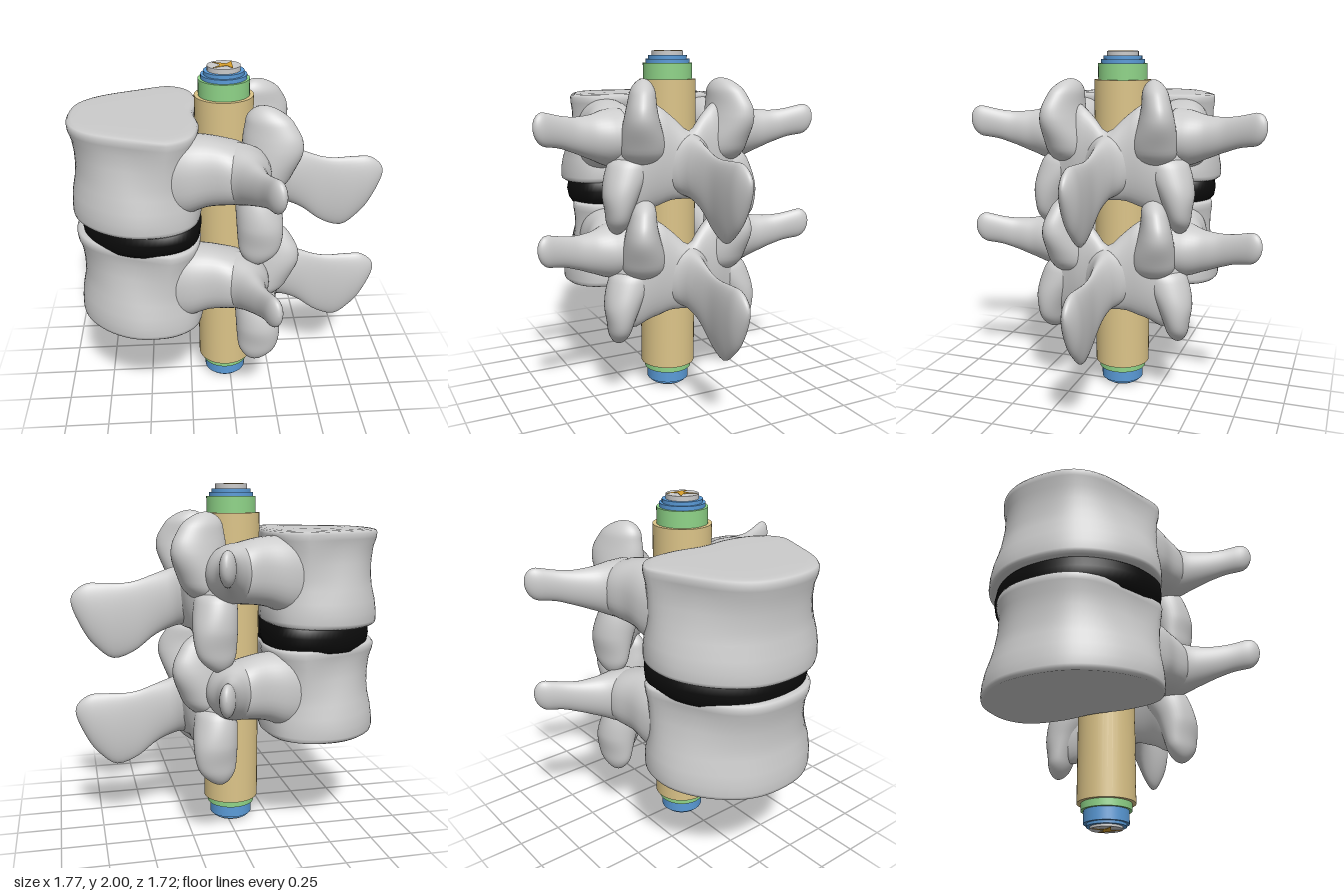
import * as THREE from 'three';

const bone = new THREE.MeshStandardMaterial({ color: 0xcccccc });
const X = new THREE.Vector3(1, 0, 0), Y = new THREE.Vector3(0, 1, 0), Z = new THREE.Vector3(0, 0, 1);
const { smoothstep, clamp, lerp } = THREE.MathUtils;

function named(name, geometry, material = bone) {
  const m = new THREE.Mesh(geometry, material);
  m.name = name;
  return m;
}

// Joins closed rings of points into one smooth skin; the end rings shrink to a point.
function skin(rings, flip) {
  const n = rings[0].length, index = [];
  for (let i = 0; i < rings.length - 1; i++) {
    for (let j = 0; j < n; j++) {
      const a = i * n + j, b = i * n + (j + 1) % n, c = a + n, d = b + n;
      if (flip) index.push(a, c, b, b, c, d);
      else index.push(a, b, c, b, d, c);
    }
  }
  const g = new THREE.BufferGeometry().setFromPoints(rings.flat());
  g.setIndex(index);
  g.computeVertexNormals();
  return g;
}

// Lofts ovals with half axes along u and v through stations [x, y, z, halfU, halfV], with rounded ends.
// A power below 1 makes the ovals squarer.
function loft(stations, u, v, capStart, capEnd, side = 1, power = 1) {
  const U = u.clone(), V = v.clone();
  U.z *= side; V.z *= side;
  const centres = new THREE.CatmullRomCurve3(stations.map(s => new THREE.Vector3(s[0], s[1], s[2] * side)));
  const sizes = new THREE.CatmullRomCurve3(stations.map(s => new THREE.Vector3(s[3], s[4], 0)));
  const bend = a => Math.sign(a) * Math.abs(a) ** power;
  const steps = 36, sides = 40, rings = [];
  for (let i = 0; i <= steps; i++) {
    const t = 0.5 - 0.5 * Math.cos(Math.PI * i / steps);
    const e = Math.max(0, 1 - t / capStart, 1 - (1 - t) / capEnd);
    const k = Math.max(Math.sqrt(Math.max(0, 1 - e * e)), 0.001);
    const c = centres.getPoint(t), r = sizes.getPoint(t), ring = [];
    for (let j = 0; j < sides; j++) {
      const a = j / sides * Math.PI * 2;
      ring.push(c.clone().addScaledVector(U, r.x * k * bend(Math.cos(a))).addScaledVector(V, r.y * k * bend(Math.sin(a))));
    }
    rings.push(ring);
  }
  const along = centres.getPoint(1).sub(centres.getPoint(0));
  return skin(rings, U.clone().cross(V).dot(along) < 0);
}

// Kidney-shaped plan of the vertebral body and disc.
const half = [[-0.85, 0.2], [-0.71, 0.385], [-0.53, 0.485], [-0.34, 0.48], [-0.215, 0.4], [-0.168, 0.2]];
const plan = new THREE.CatmullRomCurve3([
  new THREE.Vector3(-0.885, 0, 0),
  ...half.map(([x, z]) => new THREE.Vector3(x, 0, z)),
  new THREE.Vector3(-0.19, 0, 0),
  ...half.slice().reverse().map(([x, z]) => new THREE.Vector3(x, 0, -z)),
], true).getPoints(80).slice(0, -1);

// Stacks scaled copies of the plan at levels [scale, y], top to bottom. The upper levels are pinched at
// the front sides, the waist fades out towards the back, and the underside tilts up slightly.
function stack(levels) {
  const cx = -0.53;
  return skin(levels.map(([s, y]) => {
    const pinch = 0.15 * smoothstep(y, 1.4, 1.72), tilt = 0.05 * (1 - smoothstep(y, 1.25, 1.5));
    return plan.map(p => {
      const bump = Math.sin(Math.PI * clamp((-0.33 - p.x) / 0.55, 0, 1));
      const sz = s > 0.9 ? lerp(s, 1, 0.7 * smoothstep(p.x, -0.55, -0.28)) : s;
      const dx = (p.x - cx) * s;
      return new THREE.Vector3(cx + dx, y + dx * tilt, p.z * sz * (1 - pinch * bump));
    });
  }), true);
}

function vertebra(name) {
  const g = new THREE.Group();
  g.name = name;

  // body with a rim and a narrow waist
  g.add(named('vertebralBody', stack([
    [0.001, 1.754], [0.5, 1.754], [0.8, 1.752], [0.9, 1.75], [0.955, 1.745], [0.982, 1.73], [0.975, 1.7],
    [0.93, 1.65], [0.905, 1.57], [0.905, 1.49], [0.925, 1.43], [0.975, 1.36], [1, 1.3], [1.005, 1.25],
    [0.995, 1.232], [0.96, 1.222], [0.85, 1.23], [0.5, 1.235], [0.001, 1.235],
  ])));

  // arch behind the canal, from one side to the other
  const archSide = [[0.10, 1.36, 0.42, 0.08, 0.14], [0.13, 1.35, 0.31, 0.1, 0.265],
    [0.175, 1.43, 0.2, 0.095, 0.285], [0.205, 1.42, 0.1, 0.08, 0.235]];
  g.add(named('lamina', loft([
    ...archSide.map(([x, y, z, a, b]) => [x, y, -z, a, b]),
    [0.24, 1.38, 0, 0.075, 0.188],
    ...archSide.slice().reverse(),
  ], X, Y, 0.12, 0.12)));

  // blade pointing backwards, flaring into the arch
  g.add(named('spinousProcess', loft([
    [0.17, 1.385, 0, 0.17, 0.27], [0.24, 1.385, 0, 0.175, 0.165], [0.32, 1.365, 0, 0.17, 0.082],
    [0.42, 1.325, 0, 0.175, 0.05], [0.54, 1.26, 0, 0.2, 0.036], [0.66, 1.24, 0, 0.215, 0.046],
    [0.77, 1.285, 0, 0.175, 0.05], [0.885, 1.36, 0, 0.1, 0.042],
  ], Y, Z, 0.02, 0.14)));

  for (const s of [1, -1]) {
    const add = (part, ...shape) => g.add(named((s > 0 ? 'left' : 'right') + part, loft(...shape)));

    // bridge flaring from the body into the arch
    add('Pedicle', [
      [-0.6, 1.5, 0.22, 0.1, 0.17], [-0.42, 1.5, 0.265, 0.155, 0.2], [-0.27, 1.51, 0.3, 0.165, 0.212],
      [-0.14, 1.535, 0.32, 0.155, 0.188], [0.0, 1.53, 0.335, 0.165, 0.165], [0.2, 1.49, 0.3, 0.11, 0.14],
    ], Z, Y, 0.15, 0.2, s, 0.85);

    // side wing
    add('TransverseProcess', [
      [0.0, 1.53, 0.3, 0.2, 0.165], [0.03, 1.53, 0.41, 0.16, 0.155], [0.075, 1.54, 0.51, 0.09, 0.122],
      [0.11, 1.56, 0.62, 0.056, 0.095], [0.145, 1.585, 0.72, 0.044, 0.085], [0.185, 1.612, 0.858, 0.042, 0.092],
    ], X, Y, 0.06, 0.1, s);

    // upper ear-shaped facet
    add('SuperiorArticularProcess', [
      [0.14, 1.36, 0.24, 0.12, 0.13], [0.175, 1.5, 0.25, 0.15, 0.125], [0.205, 1.62, 0.268, 0.165, 0.1],
      [0.205, 1.69, 0.268, 0.16, 0.085], [0.19, 1.77, 0.256, 0.13, 0.072], [0.165, 1.85, 0.24, 0.1, 0.058],
    ], new THREE.Vector3(0.93, 0, 0.36), new THREE.Vector3(-0.36, 0, 0.93), 0.15, 0.2, s);

    // lower hanging facet
    add('InferiorArticularProcess', [
      [0.12, 1.46, 0.28, 0.1, 0.12], [0.13, 1.34, 0.325, 0.12, 0.125], [0.138, 1.23, 0.365, 0.125, 0.105],
      [0.135, 1.12, 0.38, 0.115, 0.075], [0.115, 1.0, 0.385, 0.075, 0.058],
    ], new THREE.Vector3(0.97, 0, 0.24), new THREE.Vector3(-0.24, 0, 0.97), 0.15, 0.2, s);
  }
  return g;
}

function spinalCord() {
  const g = new THREE.Group();
  g.name = 'spinalCord';
  g.position.x = -0.03;
  // nested sheaths: name, radius, bottom, top, colour
  const layers = [
    ['outerSheath', 0.162, 0.14, 1.84, 0xdcc488],
    ['middleSheath', 0.14, 0.1, 1.93, 0x8fd488],
    ['innerSheath', 0.125, 0.03, 1.952, 0x5a9bd8],
    ['innerLining', 0.11, 0.015, 1.972, 0x5a9bd8],
    ['cordCore', 0.09, 0.002, 1.998, 0xcccccc],
  ];
  for (const [name, r, y0, y1, color] of layers) {
    const m = named(name, new THREE.CylinderGeometry(r, r, y1 - y0, 40), new THREE.MeshStandardMaterial({ color }));
    m.position.y = (y0 + y1) / 2;
    g.add(m);
  }
  // butterfly-shaped inner matter, seen on both cut ends
  const wing = [[0.045, 0.07], [0.015, 0.02], [-0.06, 0.055], [-0.025, 0.012]];
  const shape = new THREE.Shape([...wing, ...wing.slice().reverse().map(([x, z]) => [x, -z])]
    .map(([x, z]) => new THREE.Vector2(x, z)));
  const inner = new THREE.ExtrudeGeometry(shape, { depth: 2, bevelEnabled: false });
  inner.rotateX(-Math.PI / 2);
  g.add(named('innerMatter', inner, new THREE.MeshStandardMaterial({ color: 0xd9a02b })));
  return g;
}

export function createModel() {
  const model = new THREE.Group();
  model.name = 'spineSegment';
  const lower = vertebra('lowerVertebra');
  lower.position.y = -0.64;
  model.add(vertebra('upperVertebra'), lower);

  // cushion between the two bodies, bulging at mid height
  const disc = named('disc', stack([
    [0.001, 1.245], [0.86, 1.245], [0.88, 1.24], [0.925, 1.22], [0.945, 1.17], [0.925, 1.12], [0.88, 1.085], [0.001, 1.085],
  ]), new THREE.MeshStandardMaterial({ color: 0x0c0c0c }));
  disc.position.x = 0.02;
  model.add(disc, spinalCord());
  return model;
}
